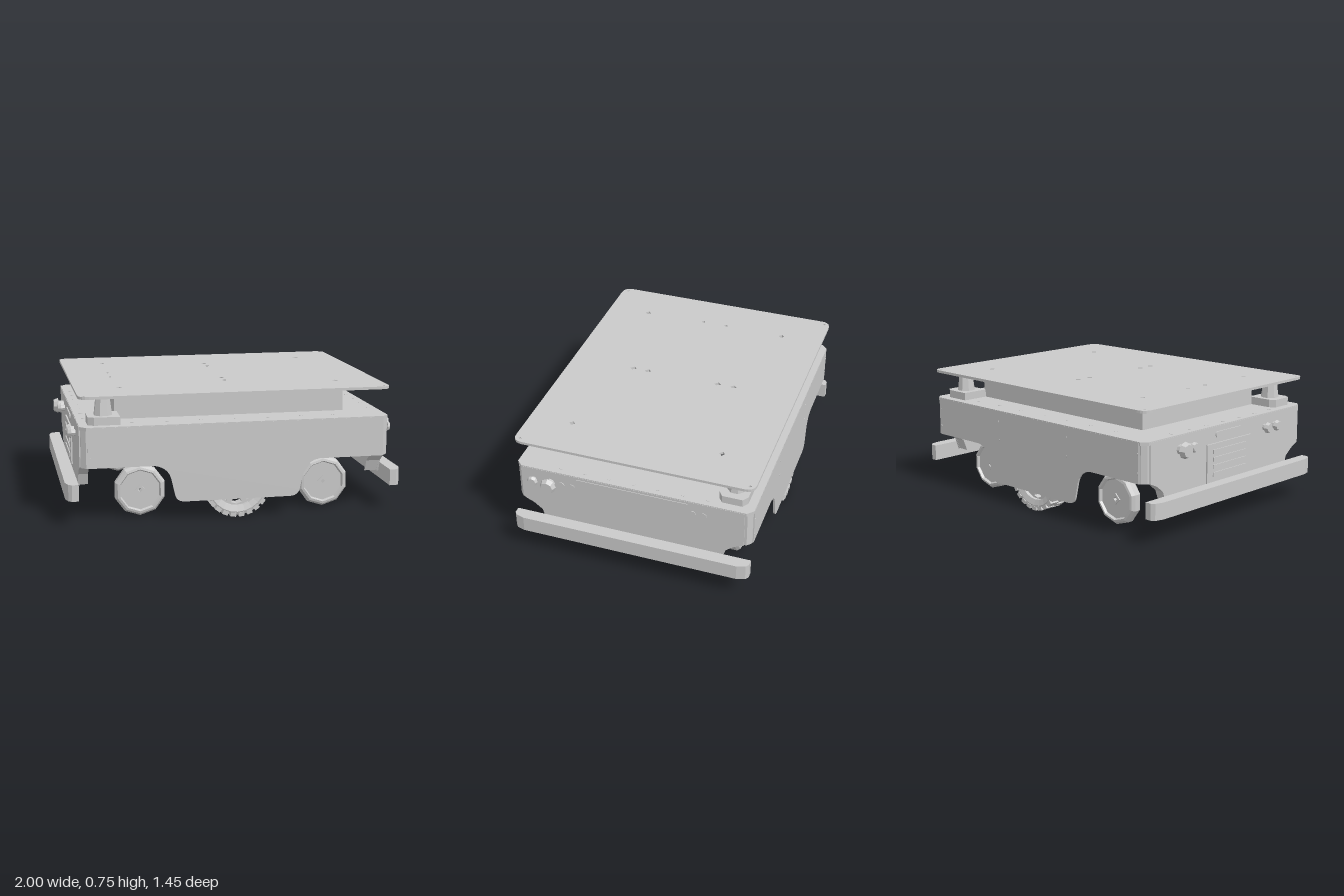
import * as THREE from 'three';

const grey = new THREE.MeshStandardMaterial({ color: 0xcacaca });
grey.name = 'light grey';

// Faceted mesh: every face gets its own normal
function add(parent, name, geo, x = 0, y = 0, z = 0) {
  const flat = geo.index ? geo.toNonIndexed() : geo;
  flat.computeVertexNormals();
  const mesh = new THREE.Mesh(flat, grey);
  mesh.name = name;
  mesh.position.set(x, y, z);
  parent.add(mesh);
  return mesh;
}

// Box given by its minimum and maximum on each axis
function box(parent, name, x0, x1, y0, y1, z0, z1) {
  return add(parent, name, new THREE.BoxGeometry(x1 - x0, y1 - y0, z1 - z0),
    (x0 + x1) / 2, (y0 + y1) / 2, (z0 + z1) / 2);
}

const extrude = (shape, depth) =>
  new THREE.ExtrudeGeometry(shape, { depth, bevelEnabled: false, curveSegments: 5 });

const points = (list) => list.map(([a, b]) => new THREE.Vector2(a, b));
const polygon = (list) => new THREE.Shape(points(list));
const lathe = (list, sides) => new THREE.LatheGeometry(points(list), sides).rotateX(Math.PI / 2);

// Outline of a slab with rounded corners
function roundedRect(w, d, r) {
  const s = new THREE.Shape();
  s.moveTo(-w + r, -d).lineTo(w - r, -d).quadraticCurveTo(w, -d, w, -d + r);
  s.lineTo(w, d - r).quadraticCurveTo(w, d, w - r, d);
  s.lineTo(-w + r, d).quadraticCurveTo(-w, d, -w, d - r);
  s.lineTo(-w, -d + r).quadraticCurveTo(-w, -d, -w + r, -d);
  return s;
}

// Four-sided hole
function diamondHole(shape, x, y, r) {
  shape.holes.push(new THREE.Path(points([[x + r, y], [x, y - r], [x - r, y], [x, y + r]])));
}

function casterWheel() {
  const g = new THREE.Group();
  g.name = 'caster';
  add(g, 'casterTyre', lathe([[0.118, -0.024], [0.126, -0.039], [0.14, -0.036], [0.154, -0.018],
    [0.154, 0.018], [0.14, 0.036], [0.126, 0.039], [0.118, 0.024], [0.118, -0.024]], 10));
  // dished disc with a square hub
  const disc = new THREE.Shape().absarc(0, 0, 0.125, 0, Math.PI * 2);
  diamondHole(disc, 0, 0, 0.014);
  add(g, 'casterDisc', extrude(disc, 0.048), 0, 0, -0.024);
  const hub = polygon([[0.034, 0], [0, 0.034], [-0.034, 0], [0, -0.034]]);
  diamondHole(hub, 0, 0, 0.014);
  add(g, 'casterHub', extrude(hub, 0.064), 0, 0, -0.032);
  return g;
}

function driveWheel() {
  const g = new THREE.Group();
  g.name = 'driveWheel';
  add(g, 'driveTyre', lathe([[0.135, -0.05], [0.17, -0.06], [0.188, -0.052], [0.19, 0.052],
    [0.17, 0.06], [0.135, 0.05], [0.135, -0.05]], 24));
  // staggered tread lugs
  for (let i = 0; i < 24; i++) {
    for (const side of [-1, 1]) {
      const a = ((i + (side > 0 ? 0.5 : 0)) / 24) * Math.PI * 2;
      add(g, 'treadLug', new THREE.BoxGeometry(0.034, 0.024, 0.062).translate(0, 0.187, side * 0.031).rotateZ(a));
    }
  }
  // rim disc with eight wedge openings
  const rim = new THREE.Shape().absarc(0, 0, 0.14, 0, Math.PI * 2);
  for (let i = 0; i < 8; i++) {
    const a = i * Math.PI / 4;
    rim.holes.push(new THREE.Path(points([[0.065, -0.1], [0.122, -0.26], [0.128, 0], [0.122, 0.26], [0.065, 0.1]]
      .map(([r, t]) => [r * Math.cos(a + t), r * Math.sin(a + t)]))));
  }
  add(g, 'driveRim', extrude(rim, 0.06), 0, 0, -0.03);
  add(g, 'driveHub', new THREE.CylinderGeometry(0.05, 0.05, 0.1, 16).rotateX(Math.PI / 2));
  return g;
}

// Knob or button on an end face; side is the sign of x
function knob(parent, name, side, y, z, r, reach) {
  const turn = (geo) => geo.rotateZ(-side * Math.PI / 2);
  add(parent, name + 'Stem', turn(new THREE.CylinderGeometry(r * 0.6, r * 0.6, reach, 8)), side * (0.915 + reach / 2), y, z);
  add(parent, name, turn(new THREE.CylinderGeometry(r * 0.75, r, reach * 0.45, 8)), side * (0.915 + reach * 0.775), y, z);
}

export function createModel() {
  const model = new THREE.Group();
  model.name = 'mobilePlatform';

  // Load deck with bolt holes
  const deck = roundedRect(0.918, 0.725, 0.06);
  for (const x of [-0.655, 0.655]) for (const z of [-0.46, 0.46]) diamondHole(deck, x, -z, 0.018);
  for (const x of [-0.885, 0.885]) for (const z of [-0.69, 0.69]) diamondHole(deck, x, -z, 0.01);
  for (const z of [-0.33, -0.23, 0.225, 0.32]) diamondHole(deck, 0, -z, 0.02);
  for (const z of [-0.08, 0.075]) diamondHole(deck, -0.665, -z, 0.014);
  add(model, 'loadDeck', extrude(deck, 0.016).rotateX(-Math.PI / 2), 0, 0.732, 0);

  // Raised hollow frame below the deck
  const frame = polygon([[-0.692, -0.498], [0.692, -0.498], [0.692, 0.498], [-0.692, 0.498]]);
  frame.holes.push(new THREE.Path(points([[-0.68, -0.486], [-0.68, 0.486], [0.68, 0.486], [0.68, -0.486]])));
  add(model, 'upperFrame', extrude(frame, 0.162).rotateX(-Math.PI / 2), 0, 0.57, 0);

  // Chassis top with two cable openings, and chamfered corner posts
  const c = 0.035;
  const topShape = polygon([[-0.913 + c, -0.72], [0.913 - c, -0.72], [0.913, -0.72 + c], [0.913, 0.72 - c],
    [0.913 - c, 0.72], [-0.913 + c, 0.72], [-0.913, 0.72 - c], [-0.913, -0.72 + c]]);
  for (const z of [-0.38, 0.38]) {
    topShape.holes.push(new THREE.Path(points([[0.06, z - 0.075], [0.06, z + 0.075], [0.46, z + 0.075], [0.46, z - 0.075]])));
  }
  add(model, 'chassisTop', extrude(topShape, 0.02).rotateX(-Math.PI / 2), 0, 0.551, 0);
  for (const sx of [-1, 1]) for (const sz of [-1, 1]) {
    const pts = [[0.86, 0.67], [0.908, 0.67], [0.908, 0.69], [0.88, 0.715], [0.86, 0.715]].map(([x, z]) => [x * sx, -z * sz]);
    add(model, 'cornerPost', extrude(polygon(pts), 0.22).rotateX(-Math.PI / 2), 0, 0.333, 0);
  }

  // Front and back plates with the lowered wheel skirt
  const skirt = new THREE.Shape();
  skirt.moveTo(-0.87, 0.566).lineTo(-0.87, 0.333).lineTo(-0.49, 0.333);
  skirt.quadraticCurveTo(-0.41, 0.32, -0.393, 0.25).lineTo(-0.37, 0.15);
  skirt.quadraticCurveTo(-0.36, 0.113, -0.31, 0.113).lineTo(0.31, 0.113);
  skirt.quadraticCurveTo(0.36, 0.113, 0.37, 0.15).lineTo(0.393, 0.25);
  skirt.quadraticCurveTo(0.41, 0.32, 0.49, 0.333).lineTo(0.87, 0.333).lineTo(0.87, 0.566);
  for (const s of [-1, 1]) {
    add(model, s > 0 ? 'frontPlate' : 'backPlate', extrude(skirt, 0.012), 0, 0, s > 0 ? 0.709 : -0.721);
    // plate screws
    for (const x of [-0.86, -0.3, 0.3, 0.86]) for (const y of [0.39, 0.5]) {
      add(model, 'plateScrew', new THREE.CylinderGeometry(0.008, 0.008, 0.004, 6).rotateX(Math.PI / 2), x, y, s * 0.721);
    }
  }

  // End panels: thin sheet with a narrowed lower edge and inward side flanges
  const endShape = polygon([[-0.675, 0.566], [-0.675, 0.333], [-0.62, 0.308], [-0.57, 0.268], [-0.545, 0.195],
    [0.545, 0.195], [0.57, 0.268], [0.62, 0.308], [0.675, 0.333], [0.675, 0.566]]);
  for (const s of [-1, 1]) {
    add(model, s > 0 ? 'leftEndPanel' : 'rightEndPanel', extrude(endShape, 0.012).rotateY(Math.PI / 2), s > 0 ? 0.903 : -0.915, 0, 0);
    const reach = s > 0 ? 0.08 : 0.05;
    for (const sz of [-1, 1]) {
      const edge = polygon([[0.675, 0.343], [0.675, 0.333], [0.62, 0.308], [0.57, 0.268], [0.545, 0.2],
        [0.535, 0.2], [0.56, 0.273], [0.612, 0.318]].map(([z, y]) => [sz * z, y]));
      add(model, 'endFlange', extrude(edge, reach).rotateY(Math.PI / 2), s > 0 ? 0.908 - reach : -0.908, 0, 0);
    }
    // floating bumper bar with rounded outer corners
    const bar = polygon([[0.926, -0.725], [0.965, -0.725], [0.985, -0.71], [1, -0.66], [1, 0.66], [0.985, 0.71], [0.965, 0.725], [0.926, 0.725]]
      .map(([x, z]) => [s * x, z]));
    add(model, s > 0 ? 'leftBumper' : 'rightBumper', extrude(bar, 0.097).rotateX(-Math.PI / 2), 0, 0.147, 0);
  }

  // Controls on the left end
  knob(model, 'emergencyButton', 1, 0.487, 0.505, 0.05, 0.06);
  knob(model, 'keySwitch', 1, 0.487, 0.61, 0.034, 0.035);
  for (const z of [-0.435, -0.37, 0.37, 0.435]) {
    add(model, 'sensorDisc', new THREE.CylinderGeometry(0.02, 0.02, 0.008, 12).rotateZ(Math.PI / 2), 0.915, 0.487, z);
  }
  box(model, 'endSeam', 0.913, 0.919, 0.545, 0.551, -0.34, 0.34);

  // Controls, louvred hatch and grip on the right end
  knob(model, 'emergencyButton', -1, 0.487, -0.43, 0.05, 0.065);
  knob(model, 'keySwitch', -1, 0.487, -0.34, 0.032, 0.045);
  for (const z of [0.34, 0.43]) knob(model, 'socket', -1, 0.487, z, 0.034, 0.045);
  box(model, 'hatch', -0.924, -0.915, 0.24, 0.47, -0.2, 0.2);
  box(model, 'hatchBacking', -0.903, -0.88, 0.2, 0.45, -0.25, 0.25);
  for (let i = 0; i < 4; i++) {
    box(model, 'louvre', -0.93, -0.924, 0.275 + i * 0.045, 0.3 + i * 0.045, -0.15, 0.15);
  }
  add(model, 'grip', extrude(roundedRect(0.12, 0.018, 0.018), 0.008).rotateY(-Math.PI / 2), -0.914, 0.517, 0);

  // Scanners on two opposite corners
  for (const s of [-1, 1]) {
    const scanner = new THREE.Group();
    scanner.name = 'cornerScanner';
    const base = polygon([[-0.095, -0.06], [-0.06, -0.085], [0.09, -0.085], [0.09, 0.085], [-0.06, 0.085], [-0.095, 0.06]]);
    add(scanner, 'scannerBase', extrude(base, 0.048).rotateX(-Math.PI / 2));
    add(scanner, 'scannerHead', new THREE.CylinderGeometry(0.042, 0.056, 0.11, 8).rotateY(Math.PI / 8), 0, 0.1, 0);
    scanner.position.set(s * 0.767, 0.57, -s * 0.585);
    scanner.rotation.y = s > 0 ? Math.PI : 0;
    model.add(scanner);
  }

  // Casters and driven wheels
  for (const sz of [-1, 1]) {
    for (const sx of [-1, 1]) {
      const caster = casterWheel();
      caster.position.set(sx * 0.555, 0.156, sz * 0.547);
      model.add(caster);
    }
    const drive = driveWheel();
    drive.position.set(0, 0.2, sz * 0.648);
    model.add(drive);
  }

  // Underside fitting
  box(model, 'undersideSensor', -0.77, -0.65, 0.48, 0.551, 0.44, 0.56);

  // Bolts around the chassis top
  for (const s of [-1, 1]) {
    for (let i = -3; i <= 3; i++) {
      add(model, 'topBolt', new THREE.CylinderGeometry(0.012, 0.012, 0.006, 6), i * 0.2, 0.57, s * 0.62);
      add(model, 'topBolt', new THREE.CylinderGeometry(0.012, 0.012, 0.006, 6), s * 0.87, 0.57, i * 0.15);
    }
  }
  return model;
}
